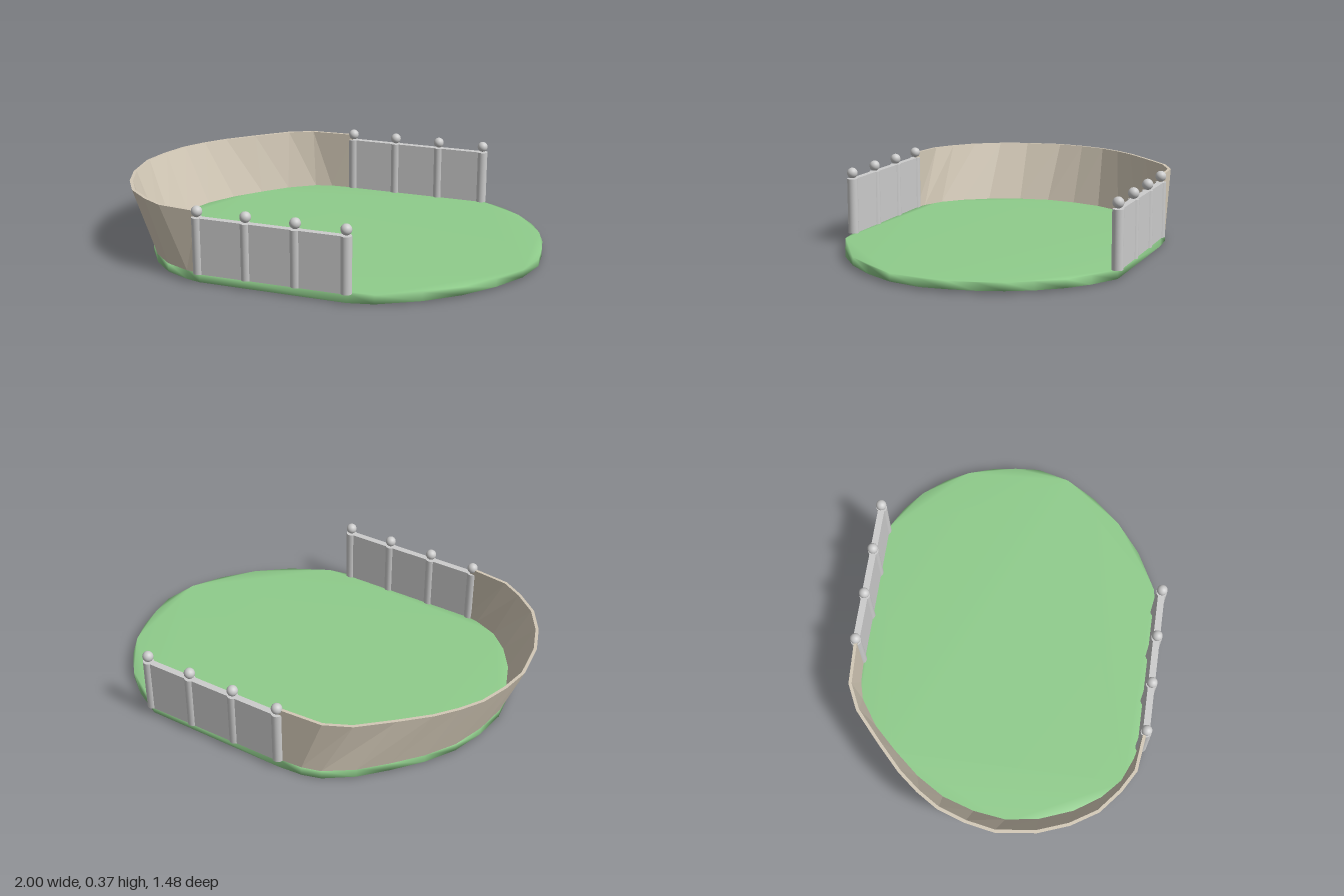
import * as THREE from 'three';

const FLOOR_TOP = 0.05, WALL_TOP = 0.348, WALL_THICKNESS = 0.015;

// Foot and rim of the leaning wall, front end to back end: [footX, footZ, rimX, rimZ]
const wallProfile = [
  [-0.42, 0.715, -0.42, 0.715], [-0.49, 0.70, -0.625, 0.69], [-0.61, 0.65, -0.73, 0.63],
  [-0.71, 0.56, -0.84, 0.54], [-0.795, 0.435, -0.92, 0.415], [-0.86, 0.27, -0.975, 0.27],
  [-0.885, 0.11, -1, 0.08], [-0.865, -0.05, -0.975, -0.06], [-0.815, -0.21, -0.93, -0.195],
  [-0.73, -0.35, -0.865, -0.30], [-0.62, -0.48, -0.785, -0.40], [-0.51, -0.595, -0.665, -0.515],
  [-0.38, -0.685, -0.52, -0.645], [-0.29, -0.71, -0.395, -0.705], [-0.17, -0.718, -0.17, -0.718],
];

// Open side of the floor, back to front
const openEdge = [
  [0.54, -0.715], [0.68, -0.64], [0.78, -0.56], [0.87, -0.45], [0.93, -0.34], [0.97, -0.22],
  [0.99, -0.1], [1, 0.02], [0.96, 0.18], [0.87, 0.33], [0.75, 0.47], [0.6, 0.59], [0.41, 0.69],
  [0.29, 0.712],
];

function buildGeometry(positions, index) {
  const g = new THREE.BufferGeometry();
  g.setAttribute('position', new THREE.Float32BufferAttribute(positions, 3));
  g.setIndex(index);
  g.computeVertexNormals();
  return g;
}

// Thin slab with shared vertices, so that its rim is shaded round
function floorGeometry() {
  const outline = [...openEdge, ...wallProfile.map(([x, z]) => [x, z])];
  const n = outline.length, positions = [], index = [];
  for (const [x, z] of outline) positions.push(x, FLOOR_TOP, z);
  for (const [x, z] of outline) positions.push(x, 0.014 * Math.abs(x), z);
  for (let i = 0; i < n; i++) {
    const j = (i + 1) % n;
    index.push(i, j, n + i, j, n + j, n + i);
  }
  const points = outline.map(([x, z]) => new THREE.Vector2(x, z));
  for (const [a, b, c] of THREE.ShapeUtils.triangulateShape(points, [])) {
    const ab = points[b].clone().sub(points[a]), ac = points[c].clone().sub(points[a]);
    const [p, q] = ab.cross(ac) < 0 ? [b, c] : [c, b];
    index.push(a, p, q, n + a, n + q, n + p);
  }
  return buildGeometry(positions, index);
}

// Shift a point of the wall line inward by the wall thickness
function inset(line, i) {
  const a = line[Math.max(i - 1, 0)], b = line[Math.min(i + 1, line.length - 1)];
  const dx = b[0] - a[0], dz = b[1] - a[1], k = WALL_THICKNESS / Math.hypot(dx, dz);
  return [line[i][0] - dz * k, line[i][1] + dx * k];
}

// Loft of four-cornered sections: outer foot, outer rim, inner rim, inner foot
function wallGeometry() {
  const foot = wallProfile.map(([x, z]) => [x, z]);
  const rim = wallProfile.map(([, , x, z]) => [x, z]);
  const positions = [], index = [], last = (foot.length - 1) * 4;
  foot.forEach((f, i) => {
    const ri = inset(rim, i), fi = inset(foot, i);
    positions.push(f[0], FLOOR_TOP, f[1], rim[i][0], WALL_TOP, rim[i][1],
      ri[0], WALL_TOP, ri[1], fi[0], FLOOR_TOP, fi[1]);
  });
  for (let s = 0; s < last; s += 4) {
    for (let k = 0; k < 4; k++) {
      const a = s + k, b = s + (k + 1) % 4;
      index.push(a, b, a + 4, b, b + 4, a + 4);
    }
  }
  index.push(0, 2, 1, 0, 3, 2, last, last + 1, last + 2, last, last + 2, last + 3);
  return buildGeometry(positions, index);
}

export function createModel() {
  const model = new THREE.Group();
  model.name = 'terrace';
  const green = new THREE.MeshStandardMaterial({ color: 0x8fcc8b });
  const beige = new THREE.MeshStandardMaterial({ color: 0xd2c8b6, flatShading: true, side: THREE.DoubleSide });
  const grey = new THREE.MeshStandardMaterial({ color: 0xcccccc });

  function add(parent, name, geometry, material, x = 0, y = 0, z = 0) {
    const mesh = new THREE.Mesh(geometry, material);
    mesh.name = name;
    mesh.position.set(x, y, z);
    parent.add(mesh);
  }

  add(model, 'floor', floorGeometry(), green);
  add(model, 'curvedWall', wallGeometry(), beige);

  // Railings: four posts with ball caps and three panels between them
  const spacing = 0.237, height = 0.27, midY = FLOOR_TOP + height / 2;
  const postGeometry = new THREE.CylinderGeometry(0.026, 0.026, height, 20);
  const capGeometry = new THREE.SphereGeometry(0.026, 20, 14);
  const panelGeometry = new THREE.BoxGeometry(spacing, height, 0.032);
  for (const [name, startX, z] of [['frontRailing', -0.424, 0.712], ['backRailing', -0.168, -0.714]]) {
    const railing = new THREE.Group();
    railing.name = name;
    for (let i = 0; i < 4; i++) {
      const x = startX + i * spacing;
      add(railing, 'post', postGeometry, grey, x, midY, z);
      add(railing, 'ballCap', capGeometry, grey, x, 0.348, z);
      if (i < 3) add(railing, 'panel', panelGeometry, grey, x + spacing / 2, midY, z);
    }
    model.add(railing);
  }
  return model;
}
